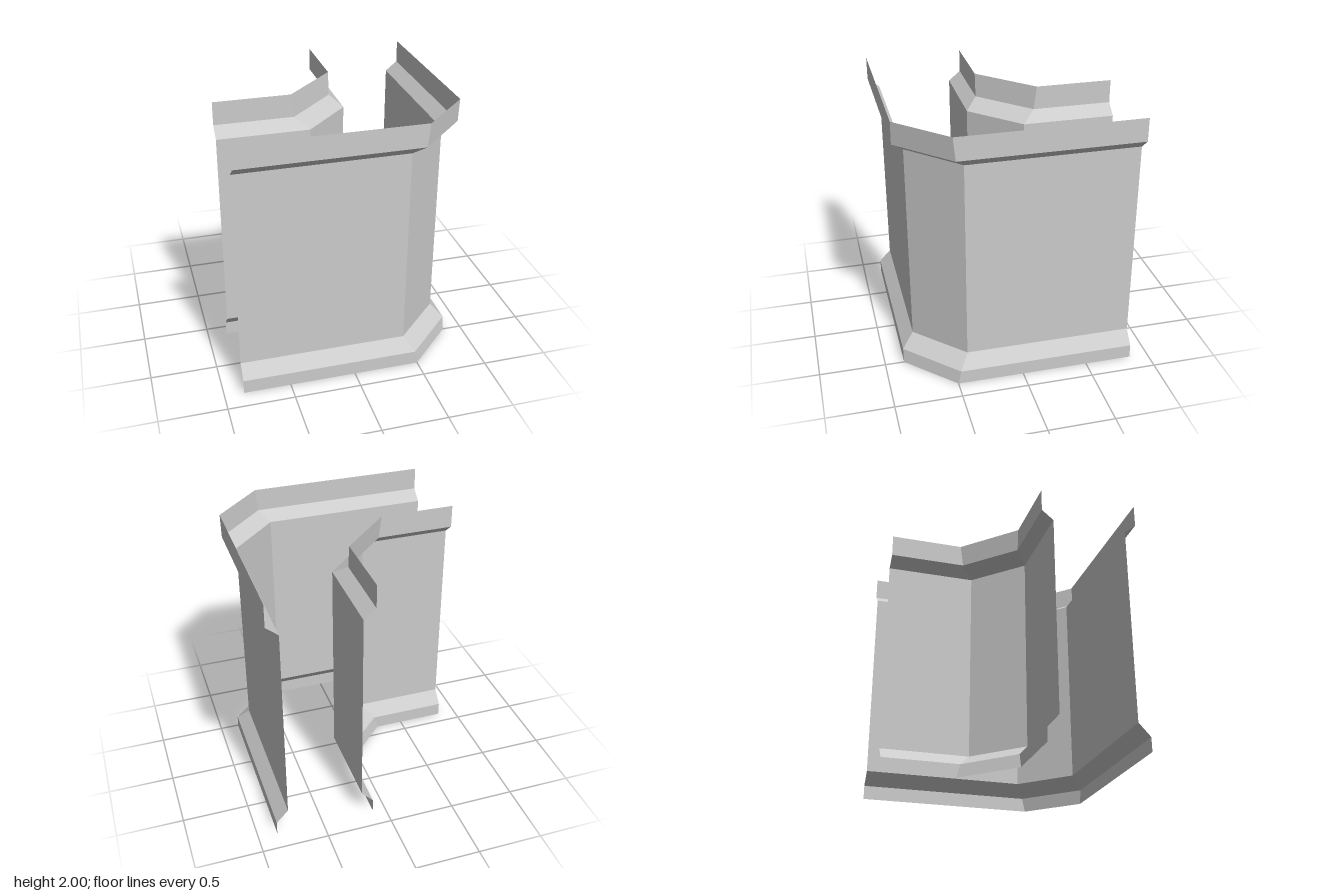
import * as THREE from 'three';

const END = -0.855; // where both straight runs stop

// Section rows, bottom to top: [height, wall offset, corner offset]
const SECTION = [
  [0, 0.09, 0.09], [0.108, 0.09, 0.067], [0.205, 0, 0],
  [1.75, 0, 0], [1.825, 0.09, 0.073], [2, 0.09, 0.09],
];

// Plan of one row: straight run, chamfered corner, straight run
const plan = (wall, corner) => [[END, wall], [corner, wall], [wall, corner], [wall, END]];

// Skin between two neighbouring section rows
function band(name, lower, upper, material, flip) {
  const pos = [];
  for (let i = 0; i < 3; i++) {
    const at = (row, k) => [row.plan[k][0], row.y, row.plan[k][1]];
    const a = at(lower, i), b = at(lower, i + 1), c = at(upper, i + 1), d = at(upper, i);
    const tris = flip ? [a, c, b, a, d, c] : [a, b, c, a, c, d];
    pos.push(...tris.flat());
  }
  const geo = new THREE.BufferGeometry();
  geo.setAttribute('position', new THREE.Float32BufferAttribute(pos, 3));
  geo.computeVertexNormals();
  const mesh = new THREE.Mesh(geo, material);
  mesh.name = name;
  return mesh;
}

// A wall with flared plinth and cornice; side = 1 flares outward, -1 inward
function makeWall(name, wall, corner, side, cornerScale, material) {
  const group = new THREE.Group();
  group.name = name;
  const rows = SECTION.map(([y, w, c]) => ({
    y, plan: plan(wall + side * w, corner + side * c * cornerScale),
  }));
  const names = ['plinthFace', 'plinthSlope', 'wallPanel', 'corniceSlope', 'corniceFace'];
  names.forEach((n, i) => group.add(band(n, rows[i], rows[i + 1], material, side < 0)));
  return group;
}

export function createModel() {
  const material = new THREE.MeshStandardMaterial({
    color: 0xcccccc, flatShading: true, side: THREE.DoubleSide,
  });
  const model = new THREE.Group();
  model.name = 'cornerWall';
  model.add(
    makeWall('outerWall', 0.765, 0.41, 1, 1, material),
    makeWall('innerWall', 0.188, -0.165, -1, 1.32, material),
  );
  return model;
}
